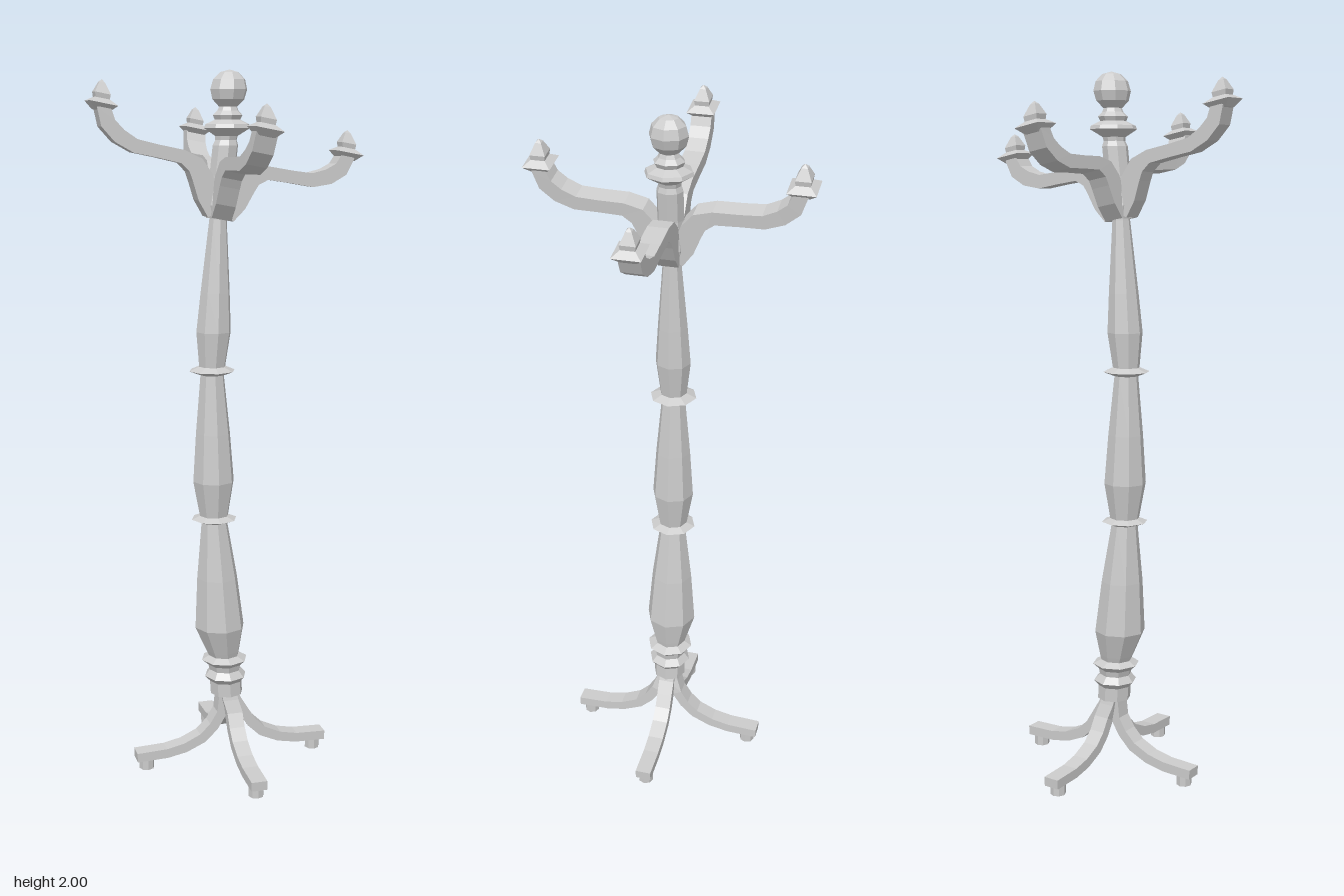
import * as THREE from 'three';

const material = new THREE.MeshStandardMaterial({ color: 0xcccccc, flatShading: true, side: THREE.DoubleSide });

// Sideways lean of the whole stand: [height, x offset]
const LEAN = [[0, 0.01], [0.16, 0.01], [0.21, -0.003], [0.32, -0.01], [0.42, -0.024], [0.75, -0.04],
  [1.18, -0.045], [1.6, -0.027], [1.75, -0.012], [1.84, -0.001], [2, 0.006]];

function leanAt(y) {
  for (let i = 1; i < LEAN.length; i++) {
    const [y0, x0] = LEAN[i - 1], [y1, x1] = LEAN[i];
    if (y <= y1) return x0 + (x1 - x0) * Math.max(0, (y - y0) / (y1 - y0));
  }
  return LEAN[LEAN.length - 1][1];
}

// Bend a geometry along the lean; tilt drops the +x side and lifts the -x side
function bend(geometry, tilt = 0) {
  const p = geometry.attributes.position;
  for (let i = 0; i < p.count; i++) {
    const x = p.getX(i) + leanAt(p.getY(i));
    p.setXY(i, x, p.getY(i) - tilt * x);
  }
  geometry.computeVertexNormals();
  return geometry;
}

function addMesh(parent, name, geometry) {
  const mesh = new THREE.Mesh(geometry, material);
  mesh.name = name;
  parent.add(mesh);
  return mesh;
}

function lathe(profile, sides = 8, phase = 0) {
  return new THREE.LatheGeometry(profile.map(([r, y]) => new THREE.Vector2(r, y)), sides, phase);
}

// Rectangular bar along a path of [out, y, thickness] in the xy plane
function bar(path, width) {
  const pos = [], idx = [], w = width / 2, n = path.length;
  path.forEach(([x, y, t], i) => {
    const a = path[Math.max(0, i - 1)], b = path[Math.min(n - 1, i + 1)];
    const dx = b[0] - a[0], dy = b[1] - a[1], l = Math.hypot(dx, dy);
    const nx = -dy / l * t / 2, ny = dx / l * t / 2;
    pos.push(x + nx, y + ny, w, x + nx, y + ny, -w, x - nx, y - ny, -w, x - nx, y - ny, w);
  });
  for (let i = 0; i < n - 1; i++) {
    for (let k = 0; k < 4; k++) {
      const a = i * 4 + k, b = i * 4 + (k + 1) % 4, c = b + 4, d = a + 4;
      idx.push(a, d, c, a, c, b);
    }
  }
  const e = (n - 1) * 4;
  idx.push(0, 1, 2, 0, 2, 3, e, e + 2, e + 1, e, e + 3, e + 2);
  const g = new THREE.BufferGeometry();
  g.setAttribute('position', new THREE.Float32BufferAttribute(pos, 3));
  g.setIndex(idx);
  return g;
}

export function createModel() {
  const group = new THREE.Group();
  group.name = 'coatStand';

  // Turned column with thin collars
  addMesh(group, 'column', bend(lathe([
    [0, 0.21], [0.048, 0.21], [0.048, 0.25], [0.062, 0.266], [0.046, 0.285], [0.05, 0.302],
    [0.068, 0.318], [0.045, 0.33], [0.05, 0.345], [0.073, 0.42], [0.06, 0.57], [0.038, 0.738],
    [0.066, 0.748], [0.042, 0.758], [0.06, 0.86], [0.05, 1.0], [0.034, 1.168],
    [0.066, 1.18], [0.038, 1.192], [0.05, 1.29], [0.042, 1.4], [0.025, 1.6], [0.025, 1.62]])));

  // Hub where the arms meet
  addMesh(group, 'hub', bend(lathe([
    [0, 1.605], [0.035, 1.605], [0.045, 1.64], [0.036, 1.72], [0.036, 1.8], [0.028, 1.82], [0, 1.82]])));

  // Finial: flared cup and ball
  addMesh(group, 'finialCup', bend(lathe([
    [0.028, 1.8], [0.032, 1.825], [0.066, 1.846], [0.062, 1.856], [0.036, 1.868],
    [0.042, 1.88], [0.03, 1.892], [0.024, 1.905]])));
  const ball = new THREE.SphereGeometry(0.052, 8, 6);
  ball.translate(0, 1.948, 0);
  addMesh(group, 'finialBall', bend(ball));

  const armPath = [[0.015, 1.61, 0.05], [0.04, 1.65, 0.058], [0.06, 1.7, 0.06], [0.082, 1.73, 0.052],
    [0.12, 1.746, 0.037], [0.19, 1.748, 0.035], [0.25, 1.75, 0.038], [0.295, 1.768, 0.042],
    [0.328, 1.795, 0.042], [0.345, 1.838, 0.036]];
  const R2 = Math.SQRT2;
  const tipProfile = [[0, 1.825], [0.02, 1.825], [0.038, 1.844], [0.019, 1.857], [0.021, 1.87],
    [0.008, 1.898], [0, 1.906]].map(([r, y]) => [r * R2, y]);
  const legPath = [[0.012, 0.22, 0.03], [0.02, 0.19, 0.03], [0.034, 0.152, 0.03], [0.058, 0.113, 0.03],
    [0.092, 0.08, 0.03], [0.145, 0.056, 0.029], [0.2, 0.045, 0.028], [0.29, 0.042, 0.027]];

  // Four arms with square spikes, four legs with feet
  for (let i = 0; i < 4; i++) {
    const angle = i * Math.PI / 2;
    addMesh(group, 'arm', bend(bar(armPath, 0.056).rotateY(angle), 0.19));
    addMesh(group, 'armTip', bend(lathe(tipProfile, 4, Math.PI / 4).translate(0.346, 0, 0).rotateY(angle), 0.19));
    addMesh(group, 'leg', bend(bar(legPath, 0.046).rotateY(angle)));
    const foot = new THREE.CylinderGeometry(0.022, 0.022, 0.035, 8);
    addMesh(group, 'foot', bend(foot.translate(0.258, 0.0175, 0).rotateY(angle)));
  }
  return group;
}
